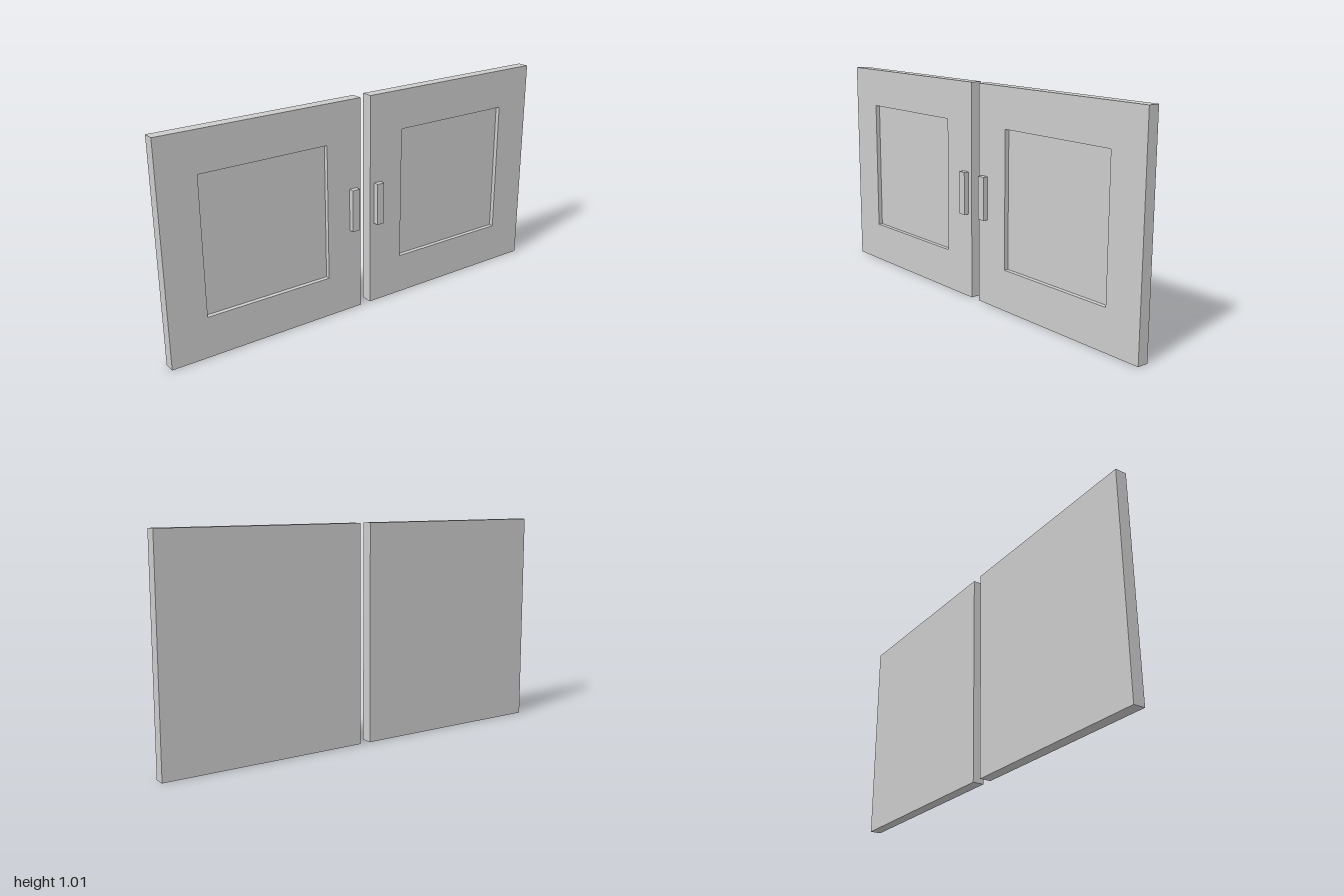
import * as THREE from 'three';

const BACK = -0.04, FACE = 0.0135, RECESS = -0.0075, HANDLE = 0.0385;
const HEIGHT = 1.013;

// Rectangular cross-section at depth x, counter-clockwise seen from +x
const rect = (x, z0, z1, y0, y1) => [[x, y0, z1], [x, y0, z0], [x, y1, z0], [x, y1, z1]];

// Closed solid skinned through a series of rectangular loops
function loft(loops) {
  const pos = [];
  const quad = (a, b, c, d) => pos.push(...a, ...b, ...c, ...a, ...c, ...d);
  for (let k = 0; k < loops.length - 1; k++) {
    for (let i = 0; i < 4; i++) {
      const j = (i + 1) % 4;
      quad(loops[k][i], loops[k][j], loops[k + 1][j], loops[k + 1][i]);
    }
  }
  quad(...[...loops[0]].reverse());
  quad(...loops[loops.length - 1]);
  const geo = new THREE.BufferGeometry();
  geo.setAttribute('position', new THREE.Float32BufferAttribute(pos, 3));
  geo.computeVertexNormals();
  return geo;
}

export function createModel() {
  const model = new THREE.Group();
  model.name = 'cabinetDoors';
  const material = new THREE.MeshStandardMaterial({ color: 0xcccccc, flatShading: true });

  for (const side of [1, -1]) {
    const door = new THREE.Group();
    door.name = side > 0 ? 'frontDoor' : 'rearDoor';
    // Span along z, mirrored for the second door
    const span = (a, b) => (side > 0 ? [a, b] : [-b, -a]);

    // Slab with a recessed square panel
    const outer = span(0.027, 1), inner = span(0.206, 0.822);
    const slab = new THREE.Mesh(loft([
      rect(BACK, ...outer, 0, HEIGHT),
      rect(FACE, ...outer, 0, HEIGHT),
      rect(FACE, ...inner, 0.192, 0.828),
      rect(RECESS, ...inner, 0.192, 0.828),
    ]), material);
    slab.name = 'doorPanel';

    // Upright bar handle beside the gap
    const handle = new THREE.Mesh(new THREE.BoxGeometry(HANDLE - FACE, 0.2, 0.038), material);
    handle.name = 'handle';
    handle.position.set((HANDLE + FACE) / 2, 0.5, side * 0.069);

    door.add(slab, handle);
    model.add(door);
  }
  return model;
}
